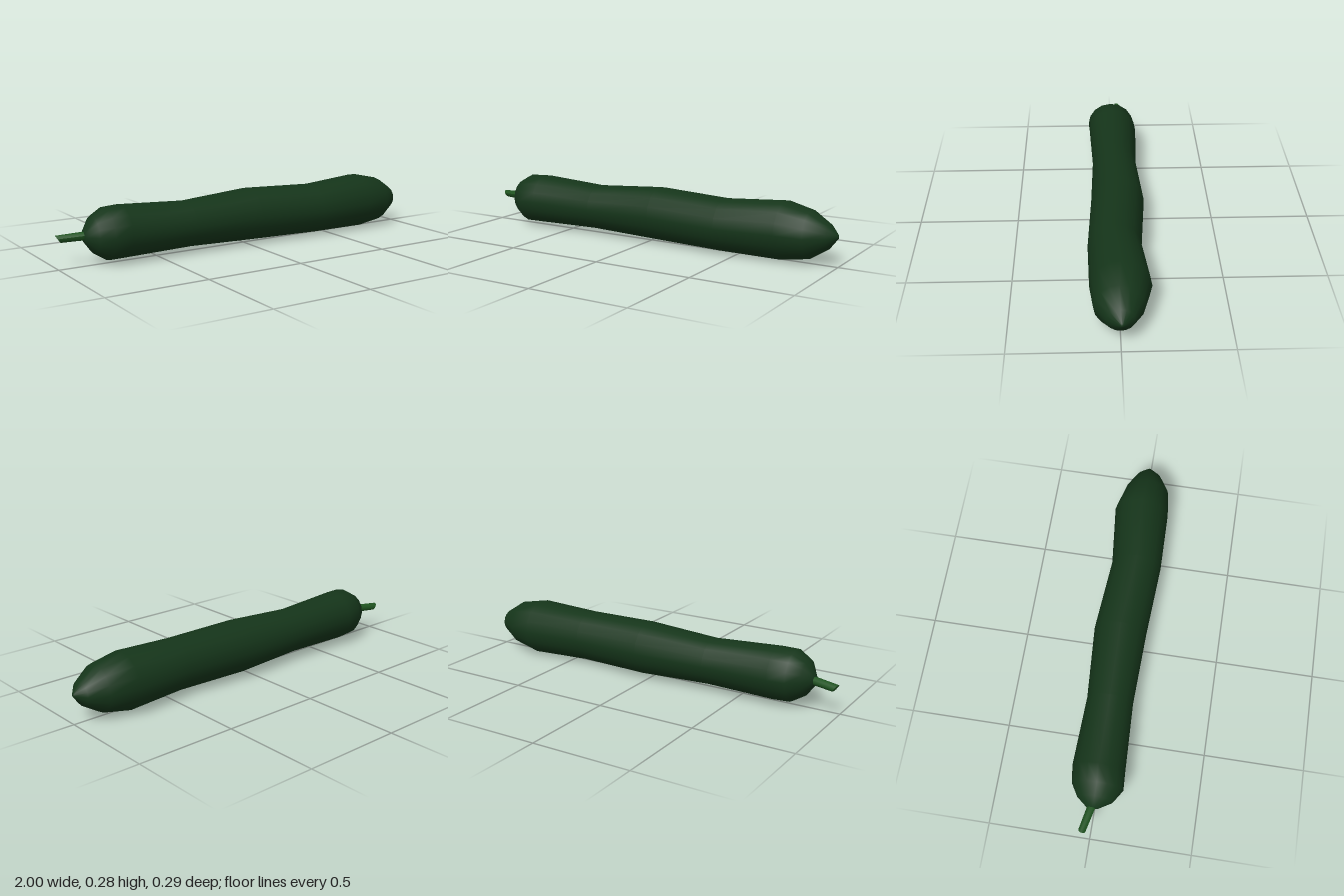
import * as THREE from 'three';

const SIDES = 16;

// Skin a closed tube along x through elliptical sections [x, bottom y, top y, back z, front z]
function loft(sections) {
  const pos = [], index = [];
  for (const [x, y0, y1, z0, z1] of sections) {
    for (let i = 0; i < SIDES; i++) {
      const a = (i / SIDES) * Math.PI * 2;
      pos.push(x, (y0 + y1) / 2 + Math.cos(a) * (y1 - y0) / 2, (z0 + z1) / 2 + Math.sin(a) * (z1 - z0) / 2);
    }
  }
  for (let s = 0; s < sections.length - 1; s++) {
    for (let i = 0; i < SIDES; i++) {
      const a = s * SIDES + i, b = s * SIDES + (i + 1) % SIDES;
      index.push(a, b, a + SIDES, b, b + SIDES, a + SIDES);
    }
  }
  // Close both ends with a centre point
  const addCap = (s, x, flip) => {
    const [, y0, y1, z0, z1] = sections[s];
    const c = pos.length / 3;
    pos.push(x, (y0 + y1) / 2, (z0 + z1) / 2);
    for (let i = 0; i < SIDES; i++) {
      const a = s * SIDES + i, b = s * SIDES + (i + 1) % SIDES;
      index.push(...(flip ? [c, b, a] : [c, a, b]));
    }
  };
  addCap(0, sections[0][0] - 0.004, true);
  addCap(sections.length - 1, sections[sections.length - 1][0] + 0.004, false);
  const g = new THREE.BufferGeometry();
  g.setAttribute('position', new THREE.Float32BufferAttribute(pos, 3));
  g.setIndex(index);
  g.computeVertexNormals();
  return g;
}

export function createModel() {
  const group = new THREE.Group();
  group.name = 'cucumber';

  // Gently lumpy body, blunt at the stem and tapered at the tip
  const body = new THREE.Mesh(
    loft([
      [-0.87, 0.115, 0.172, -0.035, 0.025],
      [-0.83, 0.06, 0.237, -0.085, 0.09],
      [-0.767, 0.02, 0.273, -0.122, 0.13],
      [-0.68, 0.019, 0.276, -0.134, 0.125],
      [-0.33, 0.025, 0.256, -0.121, 0.11],
      [0.04, 0.012, 0.281, -0.145, 0.121],
      [0.42, 0.009, 0.269, -0.115, 0.141],
      [0.73, 0.003, 0.288, -0.147, 0.135],
      [0.865, 0.026, 0.258, -0.11, 0.119],
      [0.955, 0.083, 0.2, -0.062, 0.064],
      [0.995, 0.135, 0.156, -0.012, 0.008],
    ]),
    new THREE.MeshStandardMaterial({ color: 0x15351a }),
  );
  body.name = 'body';
  group.add(body);

  // Short stem leaning backwards, with a slanted cut end
  const start = new THREE.Vector3(-0.85, 0.146, -0.006);
  const end = new THREE.Vector3(-0.985, 0.139, -0.036);
  const dir = end.clone().sub(start);
  const geo = new THREE.CylinderGeometry(0.018, 0.021, dir.length(), 8);
  geo.applyQuaternion(new THREE.Quaternion().setFromUnitVectors(new THREE.Vector3(0, 1, 0), dir.clone().normalize()));
  geo.translate(...start.clone().add(end).multiplyScalar(0.5).toArray());
  const p = geo.attributes.position;
  for (let i = 0; i < p.count; i++) {
    if (p.getX(i) < -0.92) p.setX(i, p.getX(i) - (p.getY(i) - end.y) * 0.65);
  }
  geo.computeVertexNormals();
  const stem = new THREE.Mesh(geo, new THREE.MeshStandardMaterial({ color: 0x1f5420 }));
  stem.name = 'stem';
  group.add(stem);

  return group;
}
